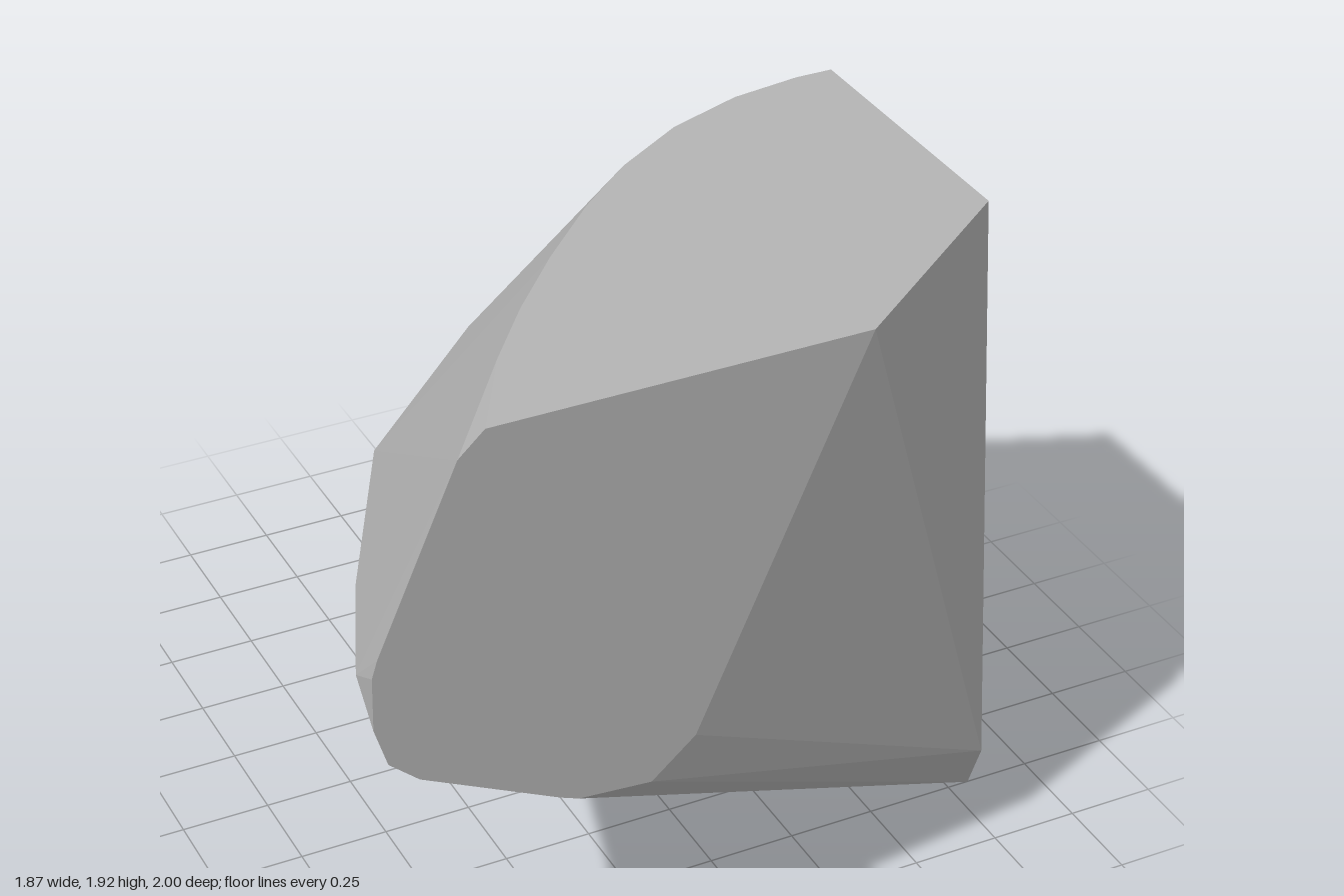
import * as THREE from 'three';
import { ConvexGeometry } from 'three/addons/geometries/ConvexGeometry.js';

const TOP = 1.925, SIDE = 0.935, FRONT = 1;

// Flat cut on top, outlined as x, z
const topCut = [
  [-0.64, 1], [-0.49, 0.74], [-0.34, 0.55], [-0.17, 0.36], [0.02, 0.17], [0.2, 0.02],
  [0.41, -0.11], [0.63, -0.19], [0.83, -0.22], [SIDE, -0.22], [SIDE, 0.58], [0.37, 1],
];

// Flat cut at the front, outlined as x, y
const frontCut = [
  [-0.71, 1.86], [-0.92, 1.37], [-0.935, 1.32], [-0.935, 1.17], [-0.9, 1.06], [-0.82, 0.99],
  [-0.45, 0.81], [-0.4, 0.79], [-0.2, 0.775], [-0.08, 0.88],
];

// Flat cut on the +x side, outlined as z, y
const sideCut = [
  [-0.84, 0.9], [-0.9, 0.72], [-0.89, 0.52], [-0.8, 0.22], [-0.6, 0.01], [-0.35, 0],
  [0.52, 0.115], [0.69, 0.175], [0.745, 0.32],
];

// Keel line along the underside
const keel = [
  [-0.57, 0.79, 0.55], [-0.31, 0.6, 0.05], [-0.2, 0.53, -0.15], [0, 0.42, -0.33],
  [0.2, 0.29, -0.52], [0.4, 0.2, -0.6], [0.6, 0.11, -0.66],
];

// Widest line around the back
const girth = [
  [-0.91, 1.22, 0.84], [-0.73, 1.15, 0.41], [-0.31, 0.93, -0.46], [-0.27, 0.87, -0.53],
  [-0.09, 0.64, -0.8], [0.22, 0.77, -0.93], [0.53, 0.83, -1], [0.83, 0.81, -0.95],
];

// Rounded rear end, above and below the widest line
const rear = [
  [0.12, 1.04, -0.78], [0.43, 1.08, -0.84], [0.1, 0.42, -0.72], [0.25, 0.5, -0.88],
  [0.6, 0.52, -0.98], [0.64, 0.32, -0.925], [0.64, 0.17, -0.84],
];

export function createModel() {
  const stone = new THREE.MeshStandardMaterial({ color: 0xb4b4b4 });
  stone.name = 'grey stone';

  const points = [
    ...topCut.map(([x, z]) => [x, TOP, z]),
    ...frontCut.map(([x, y]) => [x, y, FRONT]),
    ...sideCut.map(([z, y]) => [SIDE, y, z]),
    ...keel, ...girth, ...rear,
  ].map((p) => new THREE.Vector3(...p));

  // One faceted convex boulder
  const boulder = new THREE.Mesh(new ConvexGeometry(points), stone);
  boulder.name = 'boulder';

  const model = new THREE.Group();
  model.name = 'cut boulder';
  model.add(boulder);
  return model;
}
